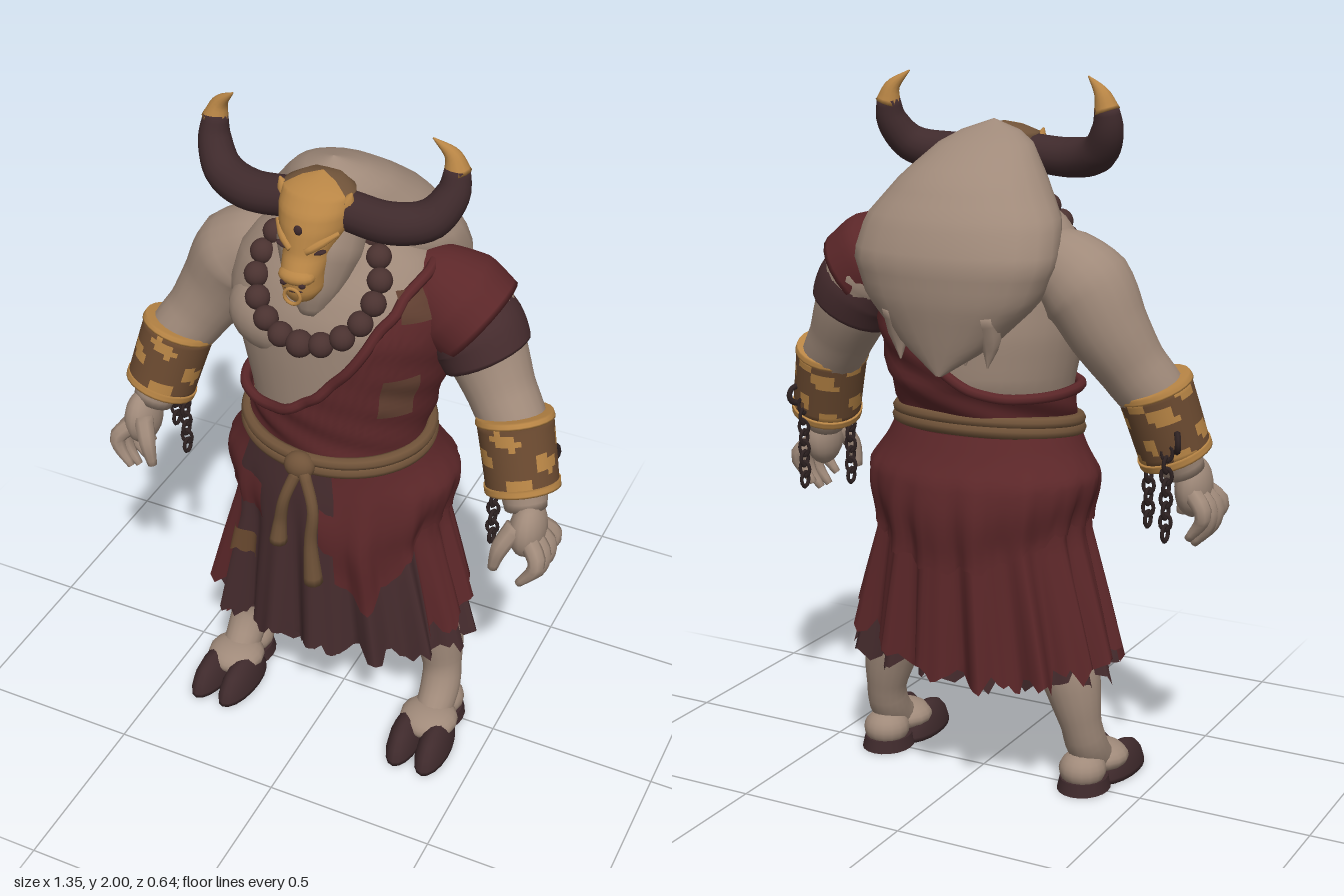
import * as THREE from 'three';

const mat = (name, color, double) => {
  const m = new THREE.MeshStandardMaterial({ color });
  m.name = name;
  if (double) m.side = THREE.DoubleSide;
  return m;
};
const M = {
  skin: mat('skin', 0xa08a7a), red: mat('redCloth', 0x5c2729, true), dark: mat('darkCloth', 0x462c2e, true),
  horn: mat('horn', 0x3f2a2c), gold: mat('gold', 0xb88545), rope: mat('rope', 0x705339),
  bead: mat('bead', 0x4a3230), iron: mat('iron', 0x2e2222), patch: mat('patch', 0x6b4a30, true),
  worn: mat('wornCloth', 0x5f3e30, true),
};
const DEG = Math.PI / 180, V = (x, y, z) => new THREE.Vector3(x, y, z);

// Linear lookup in rows sorted by their first value
function lookup(rows, y) {
  let i = 0;
  while (i < rows.length - 2 && y > rows[i + 1][0]) i++;
  const a = rows[i], b = rows[i + 1], t = THREE.MathUtils.clamp((y - a[0]) / (b[0] - a[0]), 0, 1);
  return a.map((v, k) => v + (b[k] - v) * t);
}

// Grid surface from fn(u, v); pick(u, v) chooses a material index per cell
function surface(fn, nu, nv, closed, pick) {
  const pos = [], idx = [[], []], w = closed ? nu : nu + 1;
  for (let j = 0; j <= nv; j++) for (let i = 0; i < w; i++) pos.push(...fn(i / nu, j / nv, j));
  for (let j = 0; j < nv; j++) for (let i = 0; i < nu; i++) {
    const n = (i + 1) % w, a = j * w + i, b = j * w + n, c = b + w, d = a + w;
    idx[pick ? pick(i, j) : 0].push(a, b, c, a, c, d);
  }
  const g = new THREE.BufferGeometry();
  g.setAttribute('position', new THREE.Float32BufferAttribute(pos, 3));
  g.setIndex([...idx[0], ...idx[1]]);
  if (pick) {
    g.addGroup(0, idx[0].length, 0);
    g.addGroup(idx[0].length, idx[1].length, 1);
  }
  g.computeVertexNormals();
  return g;
}

// Rounded limb through [x, y, z, radius] points, closed at both ends
function limb(pts, sides = 14, steps = 16, pick) {
  const curve = new THREE.CatmullRomCurve3(pts.map(p => V(p[0], p[1], p[2])));
  const f = curve.computeFrenetFrames(steps, false), rows = pts.map((p, i) => [i / (pts.length - 1), p[3]]);
  return surface((u, v, j) => {
    const k = THREE.MathUtils.clamp(j - 1, 0, steps), t = k / steps;
    const r = j === 0 || j === steps + 2 ? 0 : lookup(rows, curve.getUtoTmapping(t))[1];
    return curve.getPointAt(t).addScaledVector(f.normals[k], r * Math.cos(u * 2 * Math.PI))
      .addScaledVector(f.binormals[k], r * Math.sin(u * 2 * Math.PI)).toArray();
  }, sides, steps + 2, true, pick);
}

// Upright loft; rows are [y, rx, rz, cz]; taper narrows the front
const ring = (rows, th, y, out = 0, taper = 0) => {
  const [, rx, rz, cz] = lookup(rows, y);
  return [Math.sin(th) * (rx + out) * (1 - taper * Math.cos(th)), y, cz + Math.cos(th) * (rz + out)];
};
const loft = (rows, nu = 32, nv = 24, taper = 0, pick) => surface((u, v) =>
  ring(rows, u * 2 * Math.PI, rows[0][0] + v * (rows.at(-1)[0] - rows[0][0]), 0, taper), nu, nv, true, pick);

const TORSO = [[.95, .235, .185, .03], [1.08, .24, .19, .025], [1.18, .262, .22, .005], [1.32, .295, .23, .005],
  [1.45, .315, .225, .015], [1.55, .29, .195, .01], [1.63, .23, .15, .01], [1.7, .12, .1, .04], [1.72, 0, 0, .05]];
const HUMP = [[1.22, .01, .008, -.255], [1.3, .13, .085, -.2], [1.42, .25, .155, -.16], [1.53, .295, .185, -.14],
  [1.63, .28, .2, -.09], [1.74, .2, .18, -.03], [1.82, .13, .12, .03], [1.865, .06, .05, .06], [1.88, 0, 0, .06]];
const MASK = [[1.565, 0, 0, .25], [1.575, .035, .035, .25], [1.6, .054, .06, .24], [1.65, .056, .072, .235],
  [1.7, .065, .08, .197], [1.76, .093, .1, .165], [1.8, .098, .095, .155], [1.84, .095, .075, .14], [1.865, .04, .04, .12], [1.87, 0, 0, .12]];
const SKIRT = [[.28, .425, .25, 0], [.55, .355, .245, 0], [.75, .3, .24, 0], [.92, .308, .23, 0], [1.06, .245, .192, .025]];

// Pleated skirt point: folds deepen toward the hem
function skirtPoint(th, y, out) {
  const depth = THREE.MathUtils.clamp((.95 - y) * .045, 0, .03);
  return ring(SKIRT, th, y, out + depth * (Math.sin(th * 15) + .5 * Math.sin(th * 26 + 1)) - depth * .5);
}
const skirtLayer = (a, b, hem, out, top = 1.04, nu = 110) => surface((u, v) => {
  const th = (a + (b - a) * u) * DEG, low = hem(a + (b - a) * u);
  return skirtPoint(th, low + (top - low) * v, typeof out === 'function' ? out(v) : out);
}, nu, 18, false);
const ragged = d => .018 * Math.sin(d * .37) + .012 * Math.sin(d * .83 + 2) + .008 * Math.sin(d * 1.9);

// Diagonal edge of the robe at a given angle
function robeTop(th) {
  for (let y = 1.14; y < 1.62; y += .004) {
    const d = Math.max(0, ring(TORSO, th, y)[0] + .16);
    if (y > 1.155 + 2.7 * d * d) return y;
  }
  return 1.62;
}
const robePoint = (th, y, out = .016) => ring(TORSO, th, y, out + .005 * Math.sin(y * 60 + th * 5));

export function createModel() {
  const root = new THREE.Group();
  const add = (name, geo, m) => {
    const mesh = new THREE.Mesh(geo, m);
    mesh.name = name;
    root.add(mesh);
    return mesh;
  };
  const ball = (name, m, x, y, z, rx, ry = rx, rz = rx, seg = 16) => {
    const b = add(name, new THREE.SphereGeometry(1, seg, Math.ceil(seg * .7)), m);
    b.position.set(x, y, z);
    b.scale.set(rx, ry, rz);
    return b;
  };

  // Torso, maned hump and neck
  add('torso', loft(TORSO), M.skin);
  add('hump', loft(HUMP, 24, 22, .17), M.skin);
  for (const x of [-.14, -.07, .07, .14])
    add('maneTuft', limb([[x, 1.4, -.25, .035], [x, 1.32, -.225, .03], [x * .95, 1.25, -.23, .002]], 8, 6), M.skin);
  add('neck', limb([[0, 1.49, .2, .03], [0, 1.56, .18, .075], [0, 1.66, .14, .115], [0, 1.78, .08, .12]]), M.skin);
  ball('chestMuscle', M.skin, -.125, 1.41, .11, .155, .12, .122, 24);

  // Mask with dull crown, brows, eyes, nostrils and nose ring
  add('mask', loft(MASK, 28, 30, 0, (i, j) => j >= 25 && i > 4 && i < 23 ? 1 : 0), [M.gold, M.rope]);
  ball('foreheadGem', M.horn, 0, 1.772, .266, .012, .014, .006, 8);
  for (const s of [-1, 1]) {
    add('maskPoint', limb([[s * .08, 1.8, .16, .03], [s * .09, 1.825, .165, .018], [s * .1, 1.85, .165, .002]], 8, 5), M.gold);
    add('brow', limb([[s * .02, 1.715, .268, .01], [s * .05, 1.735, .25, .012], [s * .085, 1.755, .21, .006]], 8, 6), M.gold);
    ball('eye', M.horn, s * .05, 1.712, .25, .022, .006, .012, 8).rotation.z = s * .35;
    ball('nostril', M.horn, s * .026, 1.635, .3, .01, .008, .008, 8);
  }
  ball('snout', M.gold, 0, 1.648, .275, .05, .025, .036);
  ball('mouth', M.horn, 0, 1.615, .29, .03, .007, .015, 8);
  const noseRing = add('noseRing', new THREE.TorusGeometry(.022, .005, 8, 20), M.gold);
  noseRing.position.set(0, 1.6, .303);

  // Bead necklace
  for (let i = 0; i < 18; i++) {
    const a = i / 18 * 2 * Math.PI, t = (1 + Math.cos(a)) / 2;
    ball('bead', M.bead, .17 * Math.sin(a), 1.715 - .28 * t, .05 + .218 * t, i ? .034 : .037);
  }

  // Robe with rolled edge, patches and left sleeve
  add('robe', surface((u, v) => {
    const th = u * 2 * Math.PI, top = robeTop(th);
    return robePoint(th, 1.03 + v * (top - 1.03));
  }, 72, 20, true), M.red);
  const edge = [];
  for (let i = 0; i < 48; i++) edge.push(V(...robePoint(i / 48 * 2 * Math.PI, robeTop(i / 48 * 2 * Math.PI))));
  add('robeEdge', new THREE.TubeGeometry(new THREE.CatmullRomCurve3(edge, true), 96, .015, 8, true), M.red);
  for (const [a, b, y0, y1] of [[40, 62, 1.2, 1.33], [48, 66, 1.5, 1.58]])
    add('robePatch', surface((u, v) => robePoint((a + (b - a) * u) * DEG, y0 + (y1 - y0) * v, .022), 8, 8, false), M.worn);
  add('shoulderDrape', limb([[.17, 1.56, -.01, .06], [.24, 1.53, -.02, .11], [.31, 1.485, -.03, .145], [.38, 1.43, -.035, .14]], 24), M.red);
  add('sleeve', limb([[.31, 1.46, -.03, .13], [.37, 1.4, -.035, .134], [.405, 1.34, -.03, .125]], 24), M.dark);

  // Skirt layers
  add('underskirt', skirtLayer(0, 360, d => .35 + ragged(d), -.008), M.dark);
  add('midSkirt', skirtLayer(62, 322, d => .36 + .04 * Math.cos(2 * (d - 90) * DEG)
    + .06 * Math.max(0, Math.cos((d - 130) * DEG)) + ragged(d + 40), .01), M.red);
  add('overSkirt', skirtLayer(8, 335, d => (d < 70 ? .54 + .25 * Math.abs(d - 28) / 42
    : .73 - .06 * Math.cos((d - 180) * 2 * DEG)) + ragged(d) * .5,
  v => .018 + .018 * Math.sin(Math.PI * Math.min(1, v * 1.15)) ** 2), M.red);
  add('frontPanel', skirtLayer(-42, 15, d => .38 + ragged(d), .03, 1.04, 30), M.dark);
  add('skirtPatch', skirtLayer(-45, -29, d => .62 + ragged(d * 3) * .5, .04, .7, 10), M.patch);

  // Rope belt, knot and tails
  for (const [k, r] of [[0, .02], [.026, .018]]) {
    const pts = [];
    for (let i = 0; i < 24; i++) {
      const a = i / 24 * 2 * Math.PI;
      pts.push(V(.265 * Math.sin(a), 1.04 + k - .022 * Math.cos(a), .03 + .212 * Math.cos(a)));
    }
    add('belt', new THREE.TubeGeometry(new THREE.CatmullRomCurve3(pts, true), 64, r, 8, true), M.rope);
  }
  ball('knot', M.rope, -.01, 1.03, .26, .045, .04, .035);
  add('beltTail', limb([[-.01, 1.02, .275, .017], [-.04, .93, .295, .016], [-.06, .84, .285, .018], [-.068, .76, .285, .026]], 10), M.rope);
  add('beltTail', limb([[.01, 1.02, .275, .017], [.045, .92, .295, .016], [.035, .8, .29, .018], [.04, .65, .285, .028]], 10), M.rope);

  for (const s of [-1, 1]) {
    // Horns
    const L = (name, pts, m, sides, steps, pick) =>
      add(name, limb(pts.map(([x, ...r]) => [s * x, ...r]), sides, steps, pick), m);
    L('horn', [[.06, 1.785, .14, .053], [.2, 1.775, .14, .055], [.29, 1.795, .11, .053], [.333, 1.86, .075, .044], [.336, 1.92, .06, .033]], M.horn, 16, 24);
    L('hornTip', [[.337, 1.91, .061, .036], [.322, 1.955, .06, .022], [.275, 2, .075, .002]], M.gold, 12, 10);

    // Arm and shoulder
    L('arm', [[.17, 1.54, -.03, .06], [.25, 1.51, -.04, .108], [.335, 1.45, -.045, .13], [.395, 1.35, -.04, .113], [.455, 1.25, -.015, .095],
      [.52, 1.15, .02, .09], [.555, 1.03, .05, .072], [.578, .95, .075, .058]], M.skin, 20, 32);

    // Worn cuff with gold rims
    L('cuff', [[.51, 1.19, .015, .104], [.534, 1.1, .035, .102], [.557, 1.01, .055, .1]], [M.patch, M.gold], 36, 12,
      (i, j) => Math.sin(i * .7 + j * .9) + Math.sin(i * .45 - j * .7 + 2) > .75 ? 1 : 0);
    L('cuffRim', [[.506, 1.205, .012, .103], [.511, 1.187, .017, .108]], M.gold, 24, 4);
    L('cuffRim', [[.554, 1.02, .052, .105], [.56, 1, .058, .104]], M.gold, 24, 4);

    // Hand with four fingers and a thumb
    ball('palm', M.skin, s * .597, .905, .1, .05, .085, .075);
    for (let i = 0; i < 4; i++) {
      const z = .035 + i * .044, d = i === 0 || i === 3 ? .025 : 0;
      L('finger', [[.605, .9, .06 + i * .024, .028], [.65, .855, z, .025], [.645, .8 + d, z + .005, .021], [.605, .745 + d, z + .01, .011]], M.skin, 8, 10);
    }
    L('thumb', [[.575, .93, .14, .03], [.545, .87, .175, .025], [.53, .8, .18, .014]], M.skin, 8, 8);

    // Hanging chains
    for (const [x, z] of [[.48, .06], [.575, -.045]]) {
      for (let i = 0; i < 8; i++) {
        const link = add('chainLink', new THREE.TorusGeometry(.015, .0055, 6, 12), M.iron);
        link.position.set(s * x, 1.03 - i * .032, z);
        link.scale.y = 1.4;
        link.rotation.y = (i % 2 ? 80 : 10) * DEG;
      }
    }
    const stud = add('cuffStud', new THREE.TorusGeometry(.025, .009, 6, 14), M.iron);
    stud.position.set(s * .6, 1.06, -.04);
    stud.rotation.y = s * 60 * DEG;

    // Leg, heel and instep
    L('leg', [[.16, .76, 0, .11], [.215, .52, 0, .1], [.288, .34, -.02, .086], [.32, .2, -.015, .058],
      [.327, .13, .01, .06], [.328, .075, .06, .056], [.328, .05, .11, .04]], M.skin, 18, 28);
    ball('heel', M.skin, s * .325, .06, -.01, .068, .055, .07);
    ball('instep', M.skin, s * .327, .065, .095, .088, .045, .085);

    // Cloven hoof
    const dome = [[0, 0], [1, 0], [1, .15], [.88, .5], [.62, .82], [.3, .97], [0, 1]].map(p => new THREE.Vector2(...p));
    for (const x of [.279, .372]) {
      const toe = add('hoofToe', new THREE.LatheGeometry(dome, 18), M.horn);
      toe.position.set(s * x, 0, .15);
      toe.scale.set(.049, .092, .12);
      toe.rotation.y = s * .06;
    }
    const sole = add('hoofHeel', new THREE.CylinderGeometry(.9, 1, .035, 20), M.horn);
    sole.position.set(s * .325, .0175, 0);
    sole.scale.set(.075, 1, .088);
  }
  return root;
}
